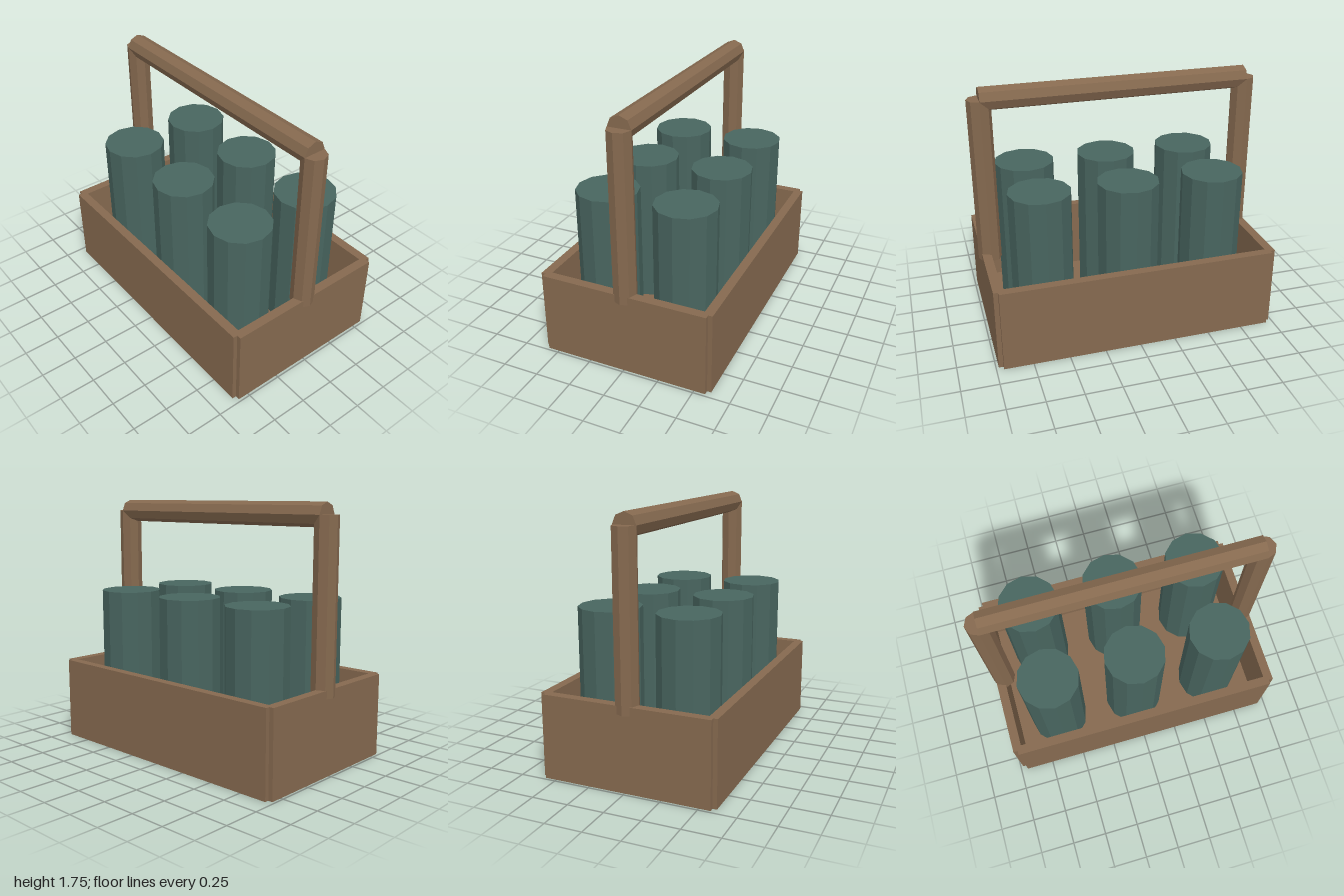
import * as THREE from 'three';

export function createModel() {
  const wood = new THREE.MeshStandardMaterial({ name: 'brown wood', color: 0x85694f, flatShading: true });
  const teal = new THREE.MeshStandardMaterial({ name: 'dark teal', color: 0x48655f, flatShading: true });
  const model = new THREE.Group();
  model.name = 'bottleCarrier';

  const add = (parent, name, geometry, material, x, y, z) => {
    const mesh = new THREE.Mesh(geometry, material);
    mesh.name = name;
    mesh.position.set(x, y, z);
    parent.add(mesh);
    return mesh;
  };
  const group = (name) => {
    const g = new THREE.Group();
    g.name = name;
    model.add(g);
    return g;
  };

  // Open crate: floor, long boards and end boards, with notched corners
  const crate = group('crate');
  const height = 0.575, board = 0.063, floor = 0.06;
  add(crate, 'floor', new THREE.BoxGeometry(1.86, floor, 1.1), wood, 0, floor / 2, 0);
  for (const s of [1, -1]) {
    add(crate, s > 0 ? 'frontBoard' : 'backBoard',
      new THREE.BoxGeometry(1.9, height, board), wood, 0, height / 2, s * 0.575);
    add(crate, s > 0 ? 'leftBoard' : 'rightBoard',
      new THREE.BoxGeometry(board, height, 1.155), wood, s * 0.95, height / 2, 0);
  }

  // Octagonal handle: two posts and a crossbar
  const handle = group('handle');
  const radius = 0.08, postX = 0.92, bottom = 0.52, top = 1.67;
  for (const s of [1, -1]) {
    add(handle, s > 0 ? 'leftPost' : 'rightPost',
      new THREE.CylinderGeometry(radius, radius, top - bottom, 8), wood, s * postX, (top + bottom) / 2, 0);
  }
  const bar = add(handle, 'crossbar', new THREE.CylinderGeometry(radius, radius, 2 * postX, 8), wood, 0, top, 0);
  bar.rotation.z = Math.PI / 2;

  // Two rows of three canisters standing on the floor
  const canisters = group('canisters');
  const canTop = 1.105;
  const can = new THREE.CylinderGeometry(0.212, 0.212, canTop - floor, 12);
  for (const z of [-0.278, 0.278]) {
    for (const x of [-0.603, 0, 0.603]) add(canisters, 'canister', can, teal, x, (canTop + floor) / 2, z);
  }
  return model;
}
